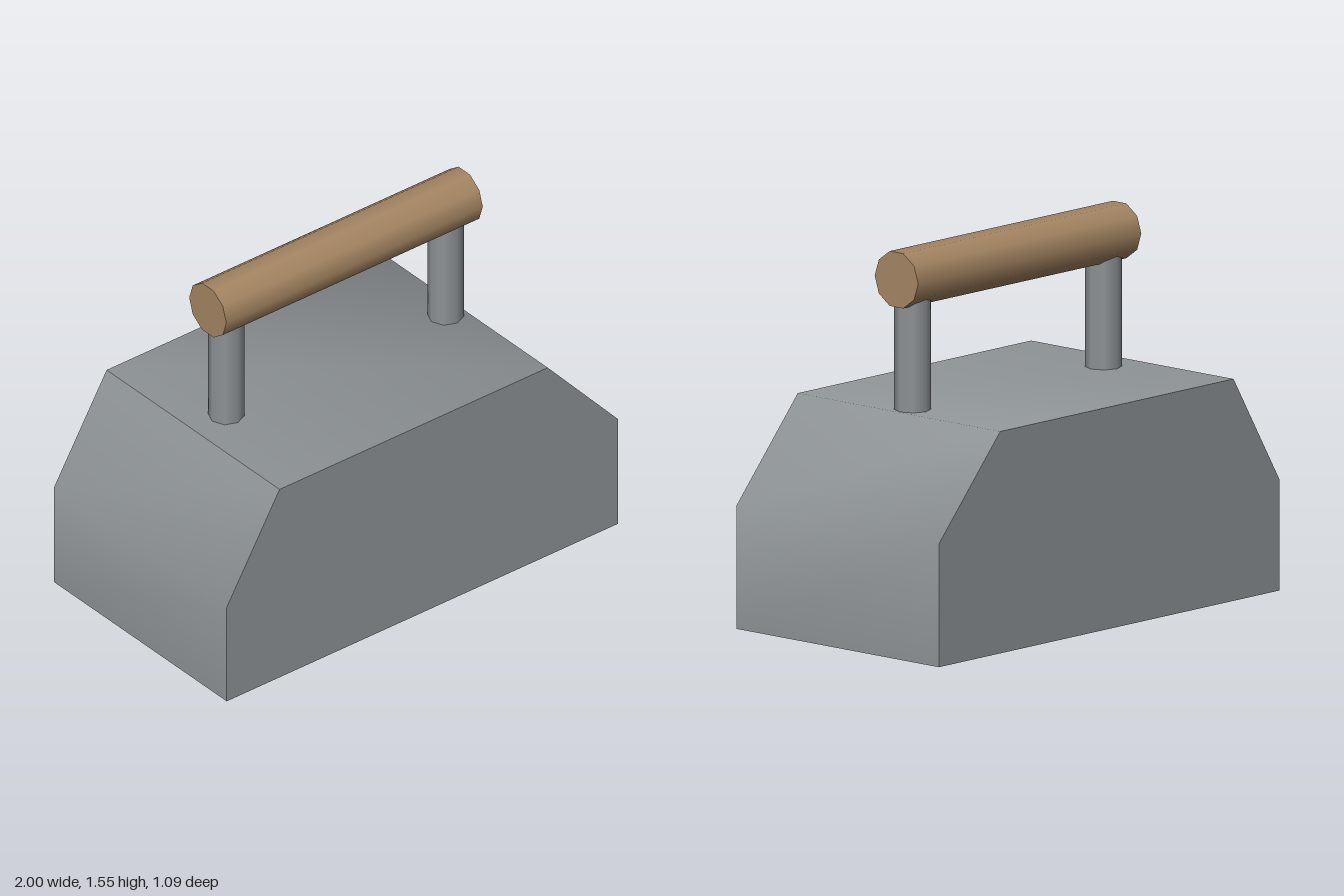
import * as THREE from 'three';
import { toCreasedNormals } from 'three/addons/utils/BufferGeometryUtils.js';

export function createModel() {
  const model = new THREE.Group();
  model.name = 'handledWeight';

  const metal = new THREE.MeshStandardMaterial({ color: 0x8e9396 });
  metal.name = 'grey metal';
  const wood = new THREE.MeshStandardMaterial({ color: 0xa68663 });
  wood.name = 'brown wood';

  const add = (name, geometry, material, x, y, z) => {
    const mesh = new THREE.Mesh(geometry, material);
    mesh.name = name;
    mesh.position.set(x, y, z);
    model.add(mesh);
  };

  // Block: uneven chamfered profile, gentle edges smoothed
  const depth = 1.09;
  const profile = new THREE.Shape(
    [[-1, 0], [1, 0], [1, 0.5], [0.64, 0.9], [-0.73, 0.9], [-1, 0.45]]
      .map(([x, y]) => new THREE.Vector2(x, y))
  );
  const block = new THREE.ExtrudeGeometry(profile, { depth, bevelEnabled: false });
  add('block', toCreasedNormals(block, 0.9), metal, 0, 0, -depth / 2);

  // Two posts running up into the grip
  for (const [name, side] of [['leftPost', 1], ['rightPost', -1]]) {
    add(name, new THREE.CylinderGeometry(0.073, 0.073, 0.48, 8), metal, side * 0.56, 1.14, 0);
  }

  // Ten-sided grip lying along x
  const grip = new THREE.CylinderGeometry(0.117, 0.117, 1.31, 10).rotateZ(Math.PI / 2);
  add('grip', grip, wood, 0, 1.44, 0);

  return model;
}
